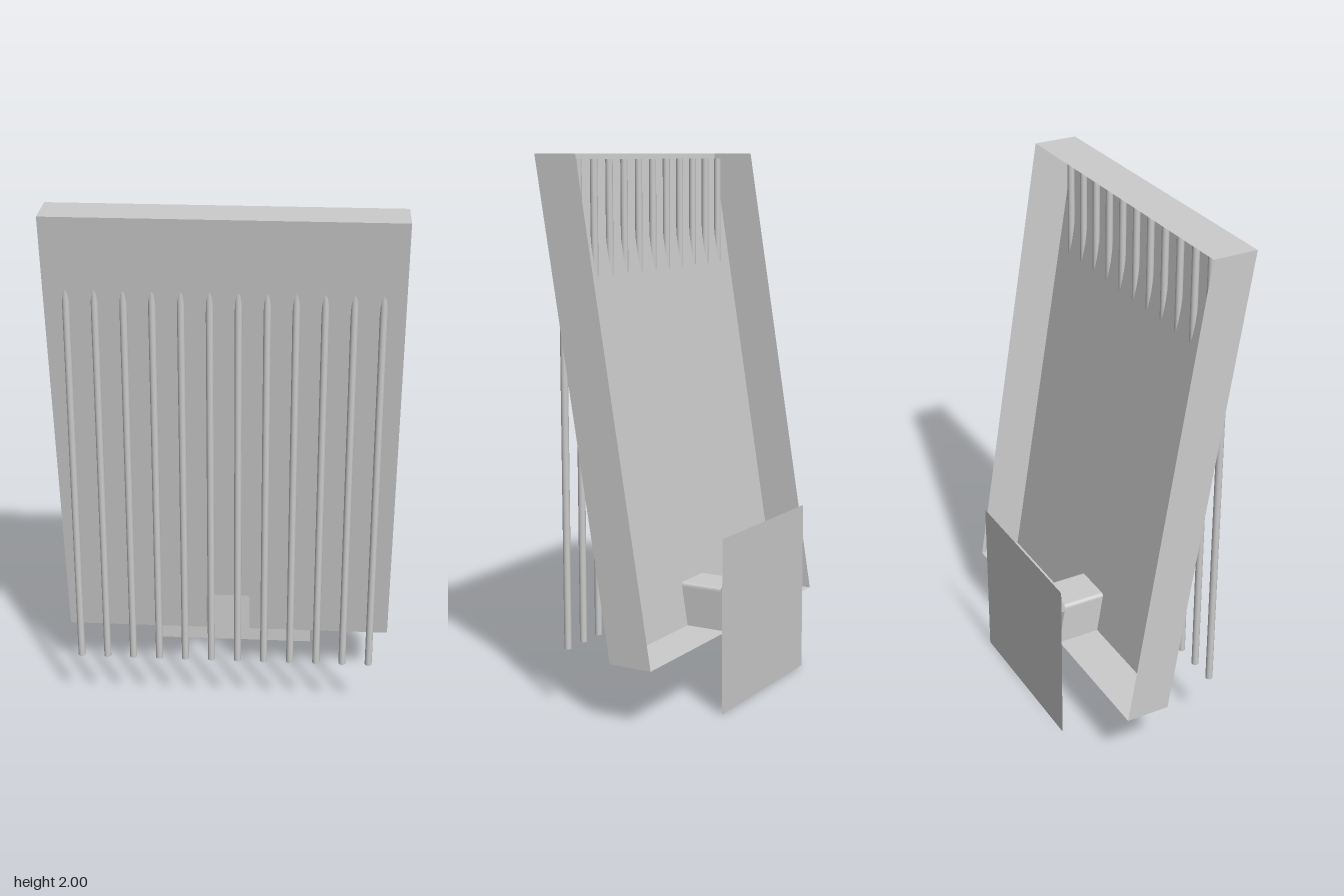
import * as THREE from 'three';

const BASE = 0.23, TOP = 2, HALF = 0.63, DEPTH = 0.168;
const LEAN = 0.288 / (TOP - BASE);
// z of the leaning front face at height y
const faceZ = (y) => -0.003 + (y - BASE) * LEAN;

// Front outline with a small rounded doorway cut into the bottom edge
function panelOutline() {
  const w = 0.086, h = 0.395, r = 0.015;
  const s = new THREE.Shape();
  s.moveTo(-HALF, BASE);
  s.lineTo(-w, BASE);
  s.lineTo(-w, h - r);
  s.quadraticCurveTo(-w, h, -w + r, h);
  s.lineTo(w - r, h);
  s.quadraticCurveTo(w, h, w, h - r);
  s.lineTo(w, BASE);
  s.lineTo(HALF, BASE);
  s.lineTo(HALF, TOP);
  s.lineTo(-HALF, TOP);
  s.closePath();
  return s;
}

// Thin wall running backwards from every edge of the outline
function rimGeometry(shape) {
  const pts = shape.getPoints(4);
  const pos = [];
  pts.forEach((a, i) => {
    const b = pts[(i + 1) % pts.length];
    if (a.distanceTo(b) < 1e-6) return;
    const za = faceZ(a.y), zb = faceZ(b.y);
    const A = [a.x, a.y, za], B = [b.x, b.y, zb];
    const C = [b.x, b.y, zb - DEPTH], D = [a.x, a.y, za - DEPTH];
    pos.push(...A, ...D, ...C, ...A, ...C, ...B);
  });
  const g = new THREE.BufferGeometry();
  g.setAttribute('position', new THREE.Float32BufferAttribute(pos, 3));
  g.computeVertexNormals();
  return g;
}

export function createModel() {
  const model = new THREE.Group();
  model.name = 'leaningPanel';
  const solid = new THREE.MeshStandardMaterial({ color: 0xcccccc });
  const thin = new THREE.MeshStandardMaterial({ color: 0xcccccc, side: THREE.DoubleSide });
  const add = (parent, name, geometry, material) => {
    const mesh = new THREE.Mesh(geometry, material);
    mesh.name = name;
    parent.add(mesh);
    return mesh;
  };

  // Leaning front sheet and its open-backed rim
  const outline = panelOutline();
  const sheet = new THREE.ShapeGeometry(outline, 4);
  const p = sheet.attributes.position;
  for (let i = 0; i < p.count; i++) p.setZ(i, faceZ(p.getY(i)));
  sheet.computeVertexNormals();
  add(model, 'frontSheet', sheet, thin);
  add(model, 'rim', rimGeometry(outline), thin);

  // Row of upright bars passing through the sheet
  const bars = new THREE.Group();
  bars.name = 'bars';
  model.add(bars);
  const count = 12, barTop = 1.98;
  const barGeometry = new THREE.CylinderGeometry(0.0135, 0.0135, barTop - BASE, 12);
  for (let i = 0; i < count; i++) {
    const bar = add(bars, `bar${i + 1}`, barGeometry, solid);
    bar.position.set(-0.552 + (i * 1.104) / (count - 1), (barTop + BASE) / 2, 0.227);
  }

  // Square plate standing behind the panel
  const plate = add(model, 'backPlate', new THREE.PlaneGeometry(0.65, 0.65), thin);
  plate.position.set(0, 0.325, -0.285);
  return model;
}
